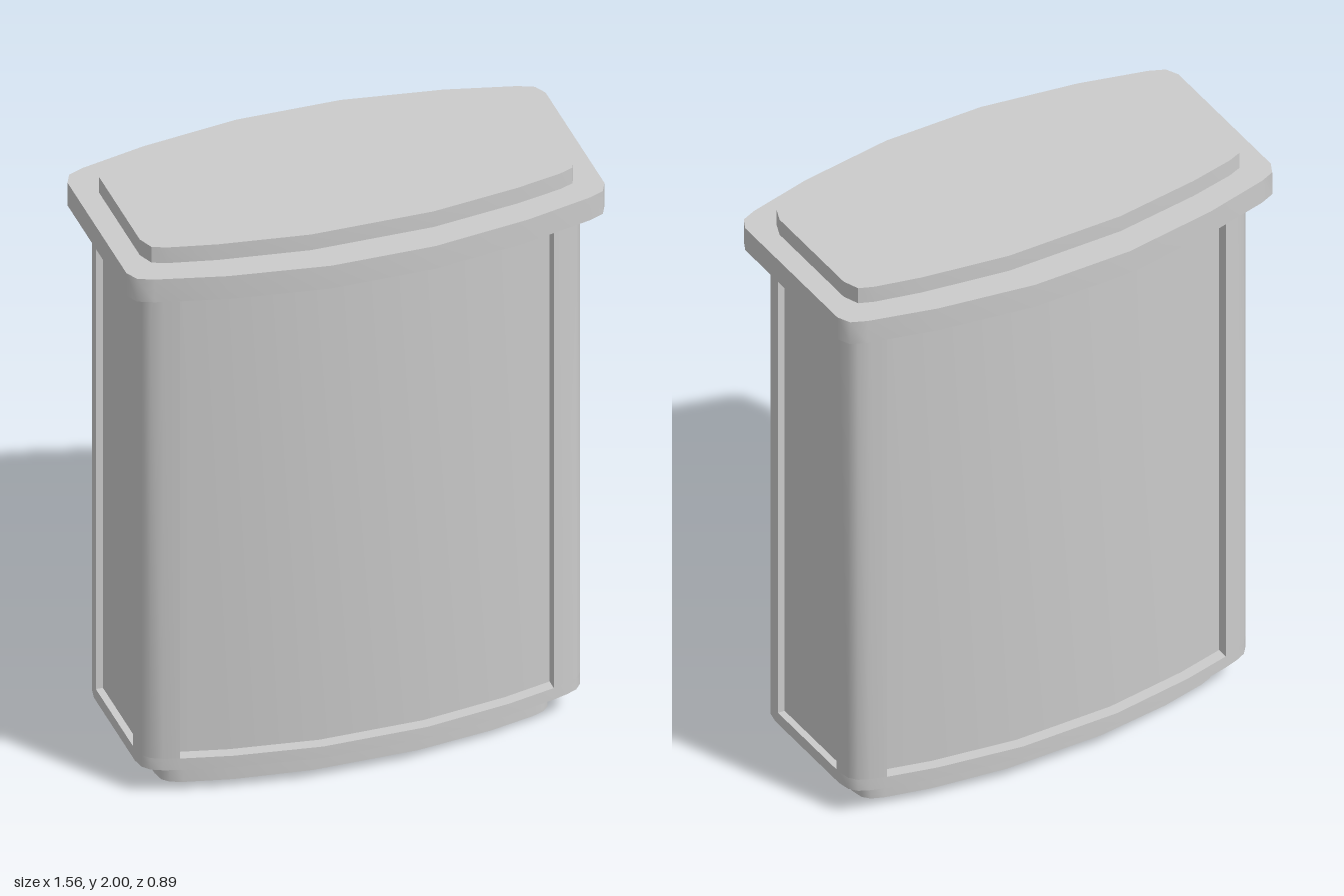
import * as THREE from 'three';
import { toCreasedNormals } from 'three/addons/utils/BufferGeometryUtils.js';

const material = new THREE.MeshStandardMaterial({ color: 0xcccccc });

// Mirror one quarter (listed from the front centre round to the side) into a closed outline
function outline(quarter) {
  const half = [...quarter, ...quarter.map(([x, z]) => [x, -z]).reverse()];
  const all = [...half, ...half.map(([x, z]) => [-x, z]).reverse()];
  return new THREE.Shape(all.map(([x, z]) => new THREE.Vector2(x, z)));
}

// Upright slab with the given outline between two heights
function slab(name, quarter, y0, y1) {
  const raw = new THREE.ExtrudeGeometry(outline(quarter), { depth: y1 - y0, bevelEnabled: false });
  raw.rotateX(-Math.PI / 2);
  raw.translate(0, y0, 0);
  const mesh = new THREE.Mesh(toCreasedNormals(raw, 0.75), material);
  mesh.name = name;
  return mesh;
}

export function createModel() {
  const group = new THREE.Group();
  group.name = 'cabinet';

  const plinth = [[0.17, 0.275], [0.42, 0.243], [0.57, 0.208], [0.61, 0.192], [0.63, 0.17], [0.638, 0.13]];
  const corner = [[0.61, 0.288], [0.66, 0.272], [0.695, 0.255], [0.715, 0.23], [0.723, 0.19]];
  const body = [[0.17, 0.369], [0.45, 0.327], ...corner];
  // Same section with the bowed faces and flat ends sunk between the corner posts
  const recessed = [[0.17, 0.328], [0.45, 0.287], [0.61, 0.248], ...corner, [0.723, 0.173], [0.7, 0.173]];
  const rim = [[0.17, 0.443], [0.49, 0.394], [0.71, 0.338], [0.76, 0.316], [0.78, 0.274]];
  const cap = [[0.2, 0.338], [0.49, 0.296], [0.64, 0.262], [0.687, 0.243], [0.707, 0.19]];

  group.add(
    slab('plinth', plinth, 0, 0.1),
    slab('lowerFrame', body, 0.1, 0.142),
    slab('panelledBody', recessed, 0.142, 1.812),
    slab('upperFrame', body, 1.812, 1.86),
    slab('rim', rim, 1.86, 1.943),
    slab('cap', cap, 1.943, 2)
  );
  return group;
}
